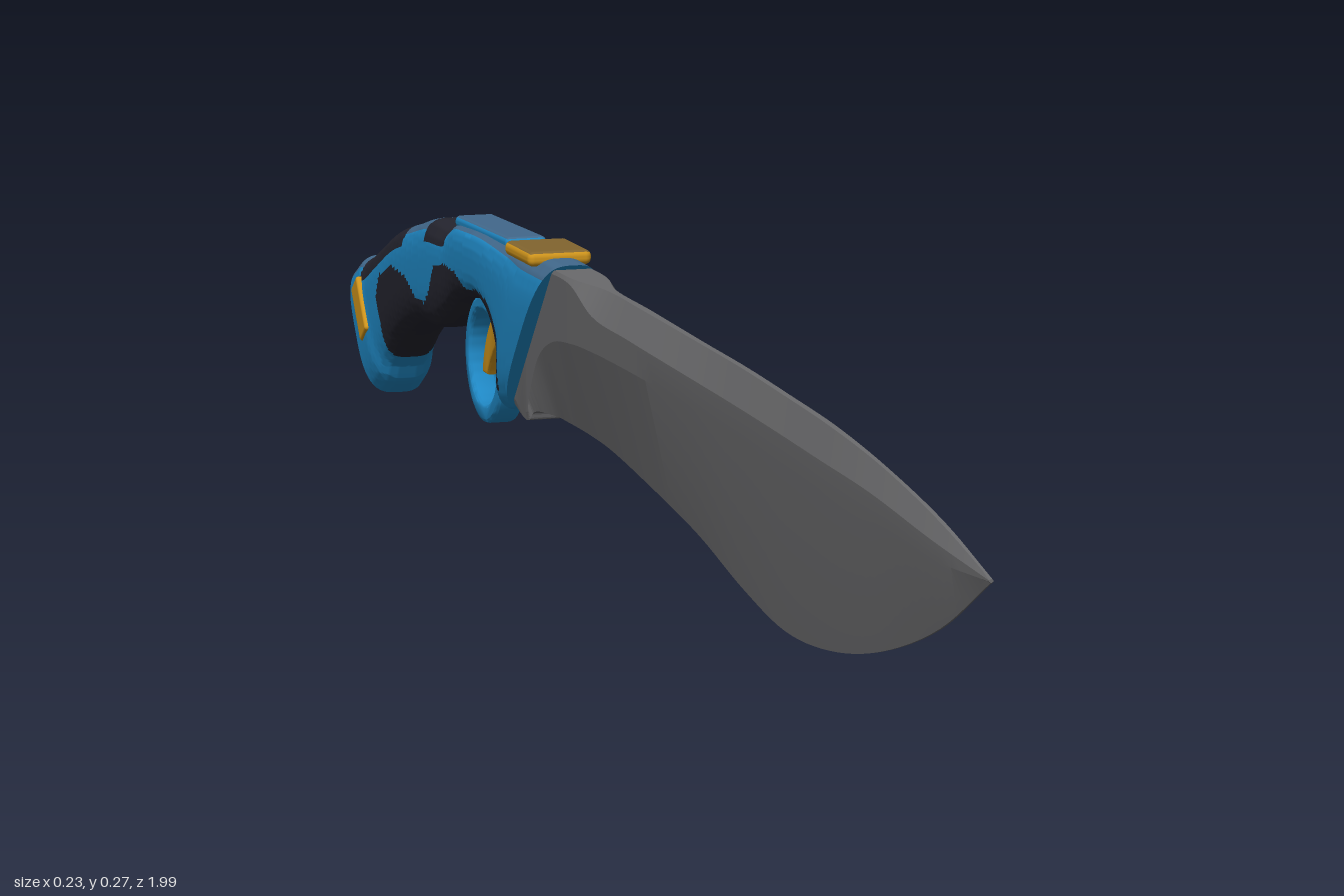
import * as THREE from 'three';
import { toCreasedNormals } from 'three/addons/utils/BufferGeometryUtils.js';
import { RoundedBoxGeometry } from 'three/addons/geometries/RoundedBoxGeometry.js';

const material = (name, color) => {
  const m = new THREE.MeshStandardMaterial({ color });
  m.name = name;
  return m;
};

// Skins a list of closed rings that run from +z to -z.
// pick(i, j) gives the material group of a cell.
function loft(rings, crease, pick = () => 0) {
  const sets = [[], [], []];
  const n = rings[0].length;
  const tri = (set, ...pts) => pts.forEach((p) => set.push(p.x, p.y, p.z));
  for (let i = 0; i < rings.length - 1; i++) {
    for (let j = 0; j < n; j++) {
      const k = (j + 1) % n;
      const set = sets[pick(i, j)];
      tri(set, rings[i][j], rings[i + 1][j], rings[i][k]);
      tri(set, rings[i + 1][j], rings[i + 1][k], rings[i][k]);
    }
  }
  [rings[0], rings[rings.length - 1]].forEach((ring, end) => {
    const mid = ring.reduce((s, p) => s.add(p), new THREE.Vector3()).divideScalar(n);
    for (let j = 0; j < n; j++) {
      const a = ring[j], b = ring[(j + 1) % n];
      if (end) tri(sets[0], mid, b, a);
      else tri(sets[0], mid, a, b);
    }
  });
  const g = new THREE.BufferGeometry();
  g.setAttribute('position', new THREE.Float32BufferAttribute(sets.flat(), 3));
  let start = 0;
  sets.forEach((set, index) => {
    g.addGroup(start, set.length / 3, index);
    start += set.length / 3;
  });
  return toCreasedNormals(g, crease);
}

// Smooth value through evenly spaced keys, t from 0 to 1
function sample(keys, t) {
  const f = t * (keys.length - 1);
  const i = Math.min(Math.floor(f), keys.length - 2);
  return THREE.MathUtils.lerp(keys[i], keys[i + 1], f - i);
}

function inside(poly, x, y) {
  let hit = false;
  poly.forEach(([ax, ay], i) => {
    const [bx, by] = poly[(i + 1) % poly.length];
    if ((ay > y) !== (by > y) && x < ((bx - ax) * (y - ay)) / (by - ay) + ax) hit = !hit;
  });
  return hit;
}

// Blade sections: z, spine y, ridge y, grind y, edge y, half width, spine half, edge half
function bladeGeometry() {
  const rows = [
    [1.000, 0.178, 0.177, 0.176, 0.175, 0.002, 0.001, 0.0005],
    [0.89, 0.203, 0.188, 0.172, 0.112, 0.009, 0.002, 0.001],
    [0.75, 0.224, 0.201, 0.177, 0.060, 0.012, 0.002, 0.001],
    [0.62, 0.236, 0.207, 0.181, 0.031, 0.014, 0.003, 0.001],
    [0.50, 0.242, 0.212, 0.185, 0.022, 0.015, 0.003, 0.001],
    [0.38, 0.247, 0.216, 0.189, 0.036, 0.016, 0.003, 0.001],
    [0.25, 0.250, 0.220, 0.192, 0.060, 0.018, 0.003, 0.001],
    [0.08, 0.254, 0.225, 0.194, 0.080, 0.020, 0.004, 0.001],
    [-0.04, 0.256, 0.230, 0.193, 0.091, 0.021, 0.005, 0.001],
    [-0.11, 0.257, 0.251, 0.190, 0.093, 0.022, 0.018, 0.001],
    [-0.18, 0.257, 0.253, 0.180, 0.093, 0.022, 0.020, 0.002],
    [-0.23, 0.254, 0.250, 0.155, 0.092, 0.022, 0.020, 0.004],
    [-0.265, 0.250, 0.246, 0.105, 0.090, 0.022, 0.020, 0.016],
    [-0.27, 0.250, 0.246, 0.090, 0.081, 0.022, 0.020, 0.020],
    [-0.34, 0.250, 0.246, 0.100, 0.092, 0.022, 0.020, 0.020],
  ];
  const sections = rows.map(([z, top, ridge, grind, edge, h, s, e]) => {
    const side = [[e, edge], [h, grind], [h, ridge], [s, top]];
    const other = side.map(([x, y]) => [-x, y]).reverse();
    return side.concat(other).map(([x, y]) => new THREE.Vector3(x, y, z));
  });
  const rails = sections[0].map((_, j) => new THREE.CatmullRomCurve3(sections.map((s) => s[j])));
  const steps = (rows.length - 1) * 6;
  const rings = Array.from({ length: steps + 1 }, (_, i) => rails.map((rail) => rail.getPoint(i / steps)));
  return loft(rings, 0.15);
}

// Handle: rounded sections strung between a top line and a bottom line (z, y)
function handleGeometry() {
  const top = [[-0.17, 0.262], [-0.25, 0.263], [-0.30, 0.263], [-0.36, 0.262], [-0.43, 0.262],
    [-0.50, 0.260], [-0.545, 0.257], [-0.575, 0.246], [-0.65, 0.246], [-0.72, 0.231],
    [-0.80, 0.212], [-0.88, 0.181], [-0.935, 0.161], [-0.955, 0.159], [-1.0, 0.139]];
  const bottom = [[-0.335, 0.080], [-0.365, 0.078], [-0.358, 0.120], [-0.385, 0.160], [-0.44, 0.182],
    [-0.49, 0.178], [-0.545, 0.165], [-0.58, 0.146], [-0.636, 0.122], [-0.706, 0.117],
    [-0.76, 0.099], [-0.81, 0.073], [-0.85, 0.040], [-0.862, 0.022], [-0.895, 0.001]];
  const width = [0.037, 0.038, 0.037, 0.036, 0.035, 0.034, 0.033, 0.033, 0.034, 0.035,
    0.036, 0.037, 0.038, 0.040, 0.040];
  const line = (pts) => new THREE.CatmullRomCurve3(pts.map(([z, y]) => new THREE.Vector3(0, y, z)));
  const topLine = line(top), bottomLine = line(bottom);
  const steps = 266, around = 80;
  // Superellipse outline, shared by all sections
  const outline = Array.from({ length: around }, (_, j) => {
    const q = (j / around) * Math.PI * 2;
    const c = Math.cos(q), s = Math.sin(q);
    const r = Math.pow(Math.abs(c) ** 3.3 + Math.abs(s) ** 3.3, -1 / 3.3);
    return [c * r, s * r];
  });
  const rings = [];
  for (let i = 0; i <= steps; i++) {
    const t = i / steps;
    const a = topLine.getPoint(t), b = bottomLine.getPoint(t), w = sample(width, t);
    rings.push(outline.map(([x, y]) => b.clone().lerp(a, 0.5 + 0.5 * y).setX(w * x)));
  }
  // Dark grip areas: scalloped lower patch and two pads on the back
  const lower = [[-0.34, 0.10], [-0.335, 0.15], [-0.35, 0.175], [-0.38, 0.193], [-0.43, 0.198],
    [-0.48, 0.190], [-0.52, 0.204], [-0.57, 0.206], [-0.61, 0.198], [-0.63, 0.165], [-0.655, 0.148],
    [-0.69, 0.150], [-0.73, 0.168], [-0.79, 0.172], [-0.845, 0.153], [-0.858, 0.125],
    [-0.84, 0.095], [-0.835, 0.04], [-0.75, 0.05], [-0.62, 0.09], [-0.50, 0.15],
    [-0.42, 0.14], [-0.37, 0.10]];
  // Groups: 0 shell, 1 grip, 2 worn upper face
  const pick = (i, j) => {
    const c = rings[i][j].clone().lerp(rings[i + 1][(j + 1) % around], 0.5);
    const up = outline[j][1];
    const pad = (c.z < -0.573 && c.z > -0.655) || (c.z < -0.748 && c.z > -0.935);
    if ((up > 0.6 && pad) || inside(lower, c.z, c.y)) return 1;
    return up > 0.85 ? 2 : 0;
  };
  return loft(rings, 0.7, pick);
}

// Extrudes a (z, y) shape across x, centred
function crosswise(shape, depth, bevel) {
  const g = new THREE.ExtrudeGeometry(shape, {
    depth, bevelThickness: bevel, bevelSize: bevel, bevelSegments: 2, curveSegments: 28,
  });
  g.translate(0, 0, -depth / 2).rotateY(-Math.PI / 2);
  return toCreasedNormals(g, 0.8);
}

// Oval trigger guard with a rounded rim
function guardGeometry() {
  const shape = new THREE.Shape().absellipse(-0.472, 0.113, 0.069, 0.067, 0, Math.PI * 2);
  shape.holes.push(new THREE.Path().absellipse(-0.472, 0.115, 0.060, 0.057, 0, Math.PI * 2));
  return crosswise(shape, 0.022, 0.004);
}

// Hooked trigger blade
function triggerGeometry() {
  const shape = new THREE.Shape();
  shape.moveTo(-0.400, 0.172);
  shape.lineTo(-0.405, 0.152);
  shape.quadraticCurveTo(-0.450, 0.135, -0.474, 0.098);
  shape.lineTo(-0.488, 0.098);
  shape.quadraticCurveTo(-0.478, 0.140, -0.448, 0.162);
  shape.lineTo(-0.445, 0.188);
  return crosswise(shape, 0.014, 0.003);
}

export function createModel() {
  const steel = material('blade steel', 0x6a6a6c);
  const blue = material('blue shell', 0x1f87c3);
  const wornBlue = material('worn blue', 0x42698c);
  const dark = material('dark grip', 0x24242e);
  const gold = material('gold trim', 0xd0951c);
  const wornGold = material('worn gold', 0x82652f);

  const model = new THREE.Group();
  model.name = 'machete';
  const add = (name, geometry, mat, x = 0, y = 0, z = 0, tilt = 0) => {
    const mesh = new THREE.Mesh(geometry, mat);
    mesh.name = name;
    mesh.position.set(x, y, z);
    mesh.rotation.x = tilt;
    model.add(mesh);
  };
  // Box face order is +x, -x, +y, -y, +z, -z
  const topped = (side, top) => [side, side, top, side, side, side];

  add('blade', bladeGeometry(), [steel]);
  add('handle', handleGeometry(), [blue, dark, wornBlue]);
  add('triggerGuard', guardGeometry(), blue);
  add('trigger', triggerGeometry(), gold);

  // Raised rail along the top and the gold plate ahead of it
  add('topRail', new RoundedBoxGeometry(0.046, 0.014, 0.21, 3, 0.006), topped(blue, wornBlue), 0, 0.258, -0.45, -0.02);
  add('topPlate', new RoundedBoxGeometry(0.070, 0.016, 0.095, 3, 0.007), topped(gold, wornGold), 0, 0.262, -0.265);

  // Gold badges on both sides of the butt
  for (const side of [-1, 1]) {
    add('buttBadge', new RoundedBoxGeometry(0.010, 0.072, 0.034, 3, 0.004), gold, side * 0.038, 0.1, -0.922, -0.64);
  }

  // The whole piece lies slightly turned about the vertical axis
  model.rotation.y = -0.094;
  model.position.x = -0.018;
  const root = new THREE.Group();
  root.name = 'model';
  root.add(model);
  return root;
}
